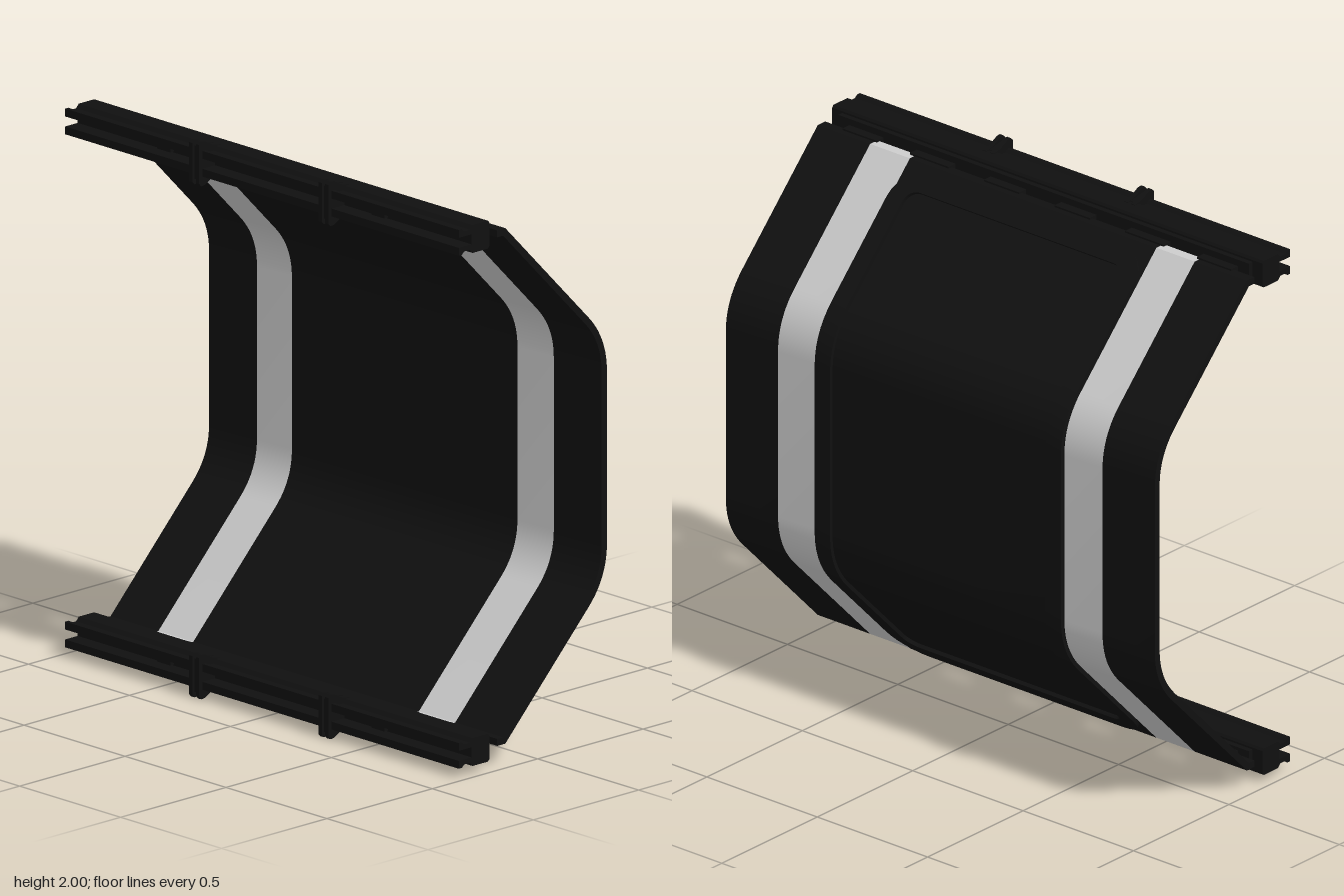
import * as THREE from 'three';
import { toCreasedNormals } from 'three/addons/utils/BufferGeometryUtils.js';

const V = (z, y) => new THREE.Vector2(z, y);

// Centre line of the bent shell as (z, y), from the top edge to the bottom edge
function shellPath() {
  const bend = new THREE.QuadraticBezierCurve(V(-0.26, 1.51), V(-0.343, 1.425), V(-0.343, 1.31));
  const half = [V(0.165, 1.912), V(0.132, 1.912), ...bend.getPoints(10)];
  return [...half, ...half.map(p => V(p.x, 2 - p.y)).reverse()];
}

// Outward normals, lengthened at bends so that the offset stays parallel
function normalsOf(path) {
  const segs = path.slice(1).map((p, i) => {
    const t = p.clone().sub(path[i]).normalize();
    return V(t.y, -t.x);
  });
  return path.map((p, i) => {
    const a = segs[Math.max(i - 1, 0)], b = segs[Math.min(i, segs.length - 1)];
    const n = a.clone().add(b).normalize();
    return n.divideScalar(n.dot(a));
  });
}

// Extrude a (z, y) outline from x0 to x1
function alongX(points, x0, x1, hole) {
  const shape = new THREE.Shape(points);
  if (hole) shape.holes.push(new THREE.Path(hole));
  const geo = new THREE.ExtrudeGeometry(shape, { depth: x1 - x0, bevelEnabled: false });
  geo.rotateY(-Math.PI / 2).translate(x1, 0, 0);
  return toCreasedNormals(geo, 0.5);
}

function add(parent, name, geo, mat) {
  const mesh = new THREE.Mesh(geo, mat);
  mesh.name = name;
  parent.add(mesh);
  return mesh;
}

function box(parent, name, mat, w, h, d, x, y, z) {
  add(parent, name, new THREE.BoxGeometry(w, h, d), mat).position.set(x, y, z);
}

// Rounded rectangle as (x, s) points, counter-clockwise
function ring(w, s0, s1, r) {
  const pts = [];
  const corner = (cx, cs, start) => {
    for (let i = 0; i <= 6; i++) {
      const a = start + (i / 6) * Math.PI / 2;
      pts.push([cx + r * Math.cos(a), cs + r * Math.sin(a)]);
    }
  };
  const side = (x, a, b) => {
    for (let i = 1; i < 60; i++) pts.push([x, a + (b - a) * i / 60]);
  };
  corner(w - r, s0 + r, -Math.PI / 2);
  side(w, s0 + r, s1 - r);
  corner(w - r, s1 - r, 0);
  corner(-w + r, s1 - r, Math.PI / 2);
  side(-w, s1 - r, s0 + r);
  corner(-w + r, s0 + r, Math.PI);
  return pts;
}

// Raised frame that follows the outside of the shell
function frameGeometry(path, low, high) {
  const normals = normalsOf(path);
  const dist = [0];
  for (let i = 1; i < path.length; i++) dist.push(dist[i - 1] + path[i].distanceTo(path[i - 1]));
  const total = dist[dist.length - 1];
  const place = ([x, s], off) => {
    let i = 0;
    while (i < path.length - 2 && dist[i + 1] < s) i++;
    const t = (s - dist[i]) / (dist[i + 1] - dist[i]);
    const p = path[i].clone().lerp(path[i + 1], t);
    p.addScaledVector(normals[i].clone().lerp(normals[i + 1], t), off);
    return [x, p.y, p.x];
  };
  const outer = ring(0.558, 0.03, total - 0.03, 0.12);
  const inner = ring(0.488, 0.10, total - 0.10, 0.05);
  const loops = [[outer, low], [outer, high], [inner, high], [inner, low]]
    .map(([pts, off]) => pts.map(p => place(p, off)));
  const pos = [];
  for (let k = 0; k < 3; k++) {
    const A = loops[k], B = loops[k + 1];
    for (let i = 0; i < A.length; i++) {
      const j = (i + 1) % A.length;
      pos.push(...A[i], ...A[j], ...B[j], ...A[i], ...B[j], ...B[i]);
    }
  }
  const geo = new THREE.BufferGeometry();
  geo.setAttribute('position', new THREE.Float32BufferAttribute(pos, 3));
  return toCreasedNormals(geo, 0.5);
}

// One edge rail with its tabs, clips and latches, centred on its own axis
function makeRail(dark) {
  const rail = new THREE.Group();
  const mirrorY = pts => [...pts, ...pts.map(p => V(p.x, -p.y)).reverse()];

  // Channel with a groove along its front
  const channel = mirrorY([V(0.29, 0.018), V(0.35, 0.018), V(0.35, 0.046), V(0.335, 0.046),
    V(0.325, 0.036), V(0.298, 0.036), V(0.285, 0.05), V(0.212, 0.05), V(0.205, 0.042)]);
  add(rail, 'railChannel', alongX(channel, -0.975, 0.975), dark);
  box(rail, 'railNeck', dark, 1.86, 0.07, 0.025, 0, 0, 0.198);

  // Tabs that join the shell to the rail
  for (const side of [-1, 1]) {
    for (const [a, b] of [[0.08, 0.24], [0.4, 0.575], [0.725, 0.88]]) {
      box(rail, 'shellTab', dark, b - a, 0.034, 0.06, side * (a + b) / 2, -0.006, 0.18);
    }
  }

  // Paired clip blades around a lower core
  const blade = mirrorY([V(0.365, 0.07), V(0.355, 0.08), V(0.338, 0.078),
    V(0.3, 0.058), V(0.265, 0.052)]);
  const core = mirrorY([V(0.355, 0.06), V(0.34, 0.062), V(0.28, 0.052)]);
  for (const x of [-0.32, 0.32]) {
    add(rail, 'clipBlade', alongX(blade, x - 0.025, x - 0.008), dark);
    add(rail, 'clipBlade', alongX(blade, x + 0.008, x + 0.025), dark);
    add(rail, 'clipCore', alongX(core, x - 0.01, x + 0.01), dark);
  }

  // Latches inside the groove
  for (const x of [-0.53, 0.53]) box(rail, 'latch', dark, 0.065, 0.028, 0.02, x, 0, 0.298);
  return rail;
}

export function createModel() {
  const model = new THREE.Group();
  model.name = 'bentPanel';
  const dark = new THREE.MeshStandardMaterial({ color: 0x101010 });
  dark.name = 'black';
  const light = new THREE.MeshStandardMaterial({ color: 0xcccccc });
  light.name = 'lightGrey';

  // Shell, split across its width into dark panels and light stripes
  const path = shellPath();
  const normals = normalsOf(path);
  const offset = d => path.map((p, i) => p.clone().addScaledVector(normals[i], d));
  const outline = [...offset(0.0125), ...offset(-0.0125).reverse()];
  const edges = [-0.972, -0.735, -0.562, 0.555, 0.735, 0.972];
  for (let i = 0; i < 5; i++) {
    const stripe = i % 2 === 1;
    add(model, stripe ? 'lightStripe' : 'shellPanel',
      alongX(outline, edges[i], edges[i + 1]), stripe ? light : dark);
  }

  // Raised frame on the back of the shell
  add(model, 'backFrame', frameGeometry(path.slice(1, -1), 0.008, 0.026), dark);

  // Rails along the top and bottom edges
  const topRail = makeRail(dark);
  topRail.name = 'topRail';
  topRail.position.y = 1.92;
  const bottomRail = makeRail(dark);
  bottomRail.name = 'bottomRail';
  bottomRail.position.y = 0.08;
  bottomRail.rotation.z = Math.PI;
  model.add(topRail, bottomRail);
  return model;
}
